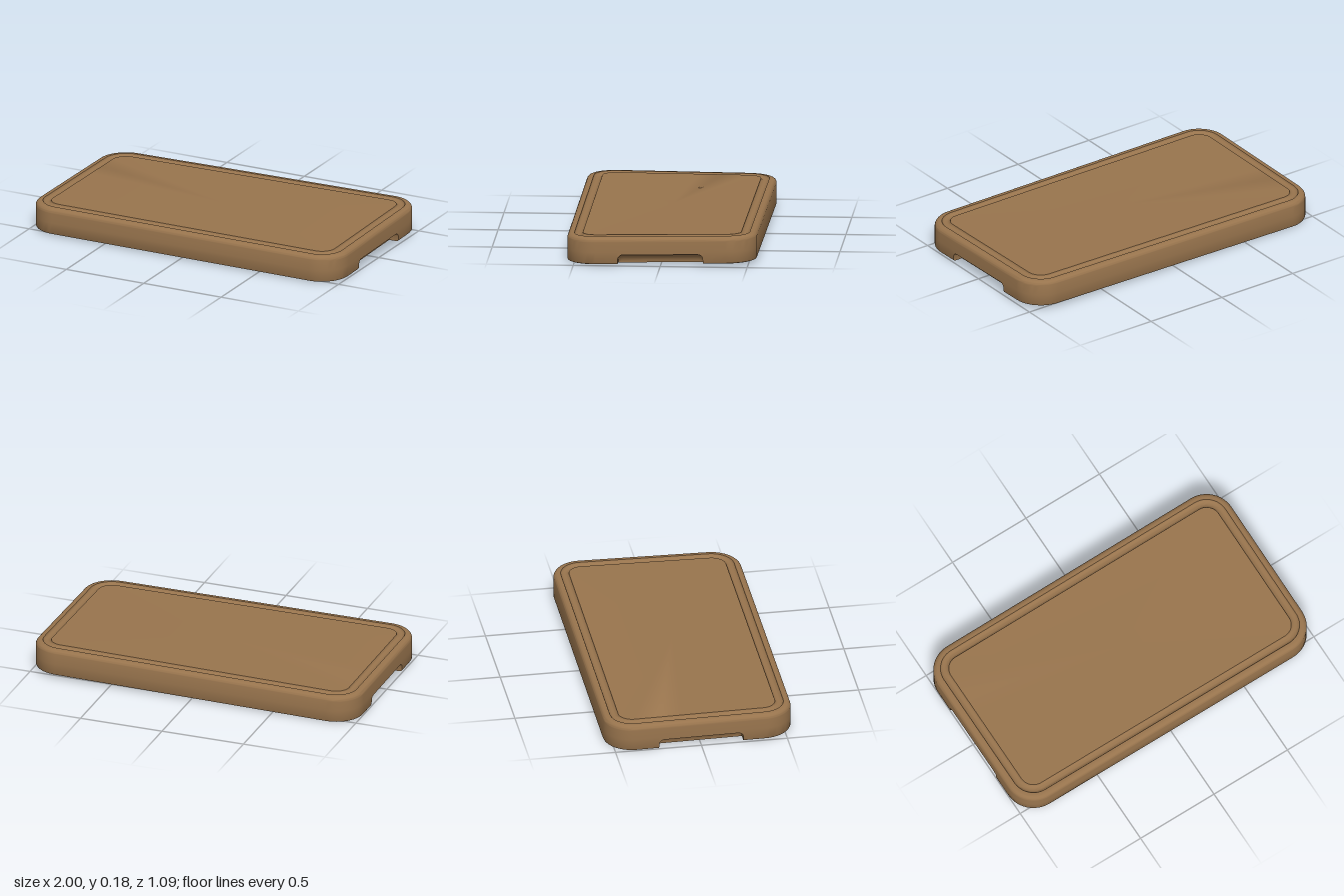
import * as THREE from 'three';
import { toCreasedNormals } from 'three/addons/utils/BufferGeometryUtils.js';

const HALF_X = 1, HALF_Z = 0.545, CORNER = 0.17, HEIGHT = 0.156;
const GRIP = { half: 0.245, round: 0.03, height: 0.055, depth: 0.06 };

// z stations along each short end; closely spaced where the grip's ends rise
const gripZ = [0.246, 0.2455, 0.244, 0.24, 0.234, 0.226, 0.215, 0.1];
const endZ = [...gripZ.map((z) => -z), ...gripZ.slice().reverse()];

// Rounded-rectangle outline pulled in by d, with the end stations included
function outline(d) {
  const pts = [], r = CORNER - d, n = 12;
  const cx = HALF_X - CORNER, cz = HALF_Z - CORNER;
  [[1, 1], [-1, 1], [-1, -1], [1, -1]].forEach(([sx, sz], k) => {
    for (let i = 0; i <= n; i++) {
      const a = (k + i / n) * Math.PI / 2;
      pts.push([sx * cx + r * Math.cos(a), sz * cz + r * Math.sin(a)]);
    }
    if (k === 1) endZ.slice().reverse().forEach((z) => pts.push([-HALF_X + d, z]));
    if (k === 3) endZ.forEach((z) => pts.push([HALF_X - d, z]));
  });
  return pts;
}

// Height of the scooped finger grip under each short end
function gripHeight(x, z, d) {
  if (Math.abs(x) < 0.9 || Math.abs(z) > GRIP.half + 0.0007 || d >= GRIP.depth) return 0;
  const t = Math.max(0, (Math.abs(z) - GRIP.half + GRIP.round) / GRIP.round);
  const ends = t > 1 ? 0 : 0.5 + 0.5 * Math.sqrt(1 - t * t);
  return GRIP.height * ends * Math.sqrt(1 - (d / GRIP.depth) ** 2);
}

// Slight warp of the wood: the back corner on +x is lifted
function warp(x, z) {
  const u = (x + 1) / 2, v = (z / HALF_Z + 1) / 2;
  return (1 - v) * 0.025 * u + v * (0.01 - 0.005 * u);
}

// Section from the underside, round the edge and across the juice groove: [inset, y]
function section() {
  const s = [0.065, 0.06, 0.0595, 0.058, 0.054, 0.047, 0.036, 0.024, 0.012].map((d) => [d, 0]);
  s.push([0.004, 0.003], [0, 0.01], [0, 0.07]);
  const f = 0.028;
  for (let i = 0; i <= 8; i++) {
    const a = i / 8 * Math.PI / 2;
    s.push([f * (1 - Math.cos(a)), HEIGHT - f + f * Math.sin(a)]);
  }
  for (let i = 0; i <= 10; i++) {
    const a = i / 10 * Math.PI;
    s.push([0.065 - 0.024 * Math.cos(a), HEIGHT - 0.016 * Math.sin(a)]);
  }
  return s;
}

function boardGeometry() {
  const pos = [], idx = [], rings = section();
  let n = 0;
  rings.forEach(([d, y]) => {
    const pts = outline(d);
    n = pts.length;
    pts.forEach(([x, z]) => pos.push(x, Math.max(y, gripHeight(x, z, d)) + warp(x, z), z));
  });
  for (let j = 0; j < rings.length - 1; j++) {
    for (let i = 0; i < n; i++) {
      const a = j * n + i, b = j * n + (i + 1) % n;
      idx.push(a, a + n, b, b, a + n, b + n);
    }
  }
  // Flat underside and cutting surface
  const low = rings.length * n, high = low + 1, last = (rings.length - 1) * n;
  pos.push(0, warp(0, 0), 0, 0, HEIGHT + warp(0, 0), 0);
  for (let i = 0; i < n; i++) {
    const k = (i + 1) % n;
    idx.push(low, i, k, high, last + k, last + i);
  }
  const geo = new THREE.BufferGeometry();
  geo.setAttribute('position', new THREE.Float32BufferAttribute(pos, 3));
  geo.setIndex(idx);
  return toCreasedNormals(geo, 0.6);
}

export function createModel() {
  const group = new THREE.Group();
  group.name = 'cuttingBoard';
  const wood = new THREE.MeshStandardMaterial({ color: 0x98744d });
  wood.name = 'warm brown wood';
  const board = new THREE.Mesh(boardGeometry(), wood);
  board.name = 'board';
  group.add(board);
  return group;
}
